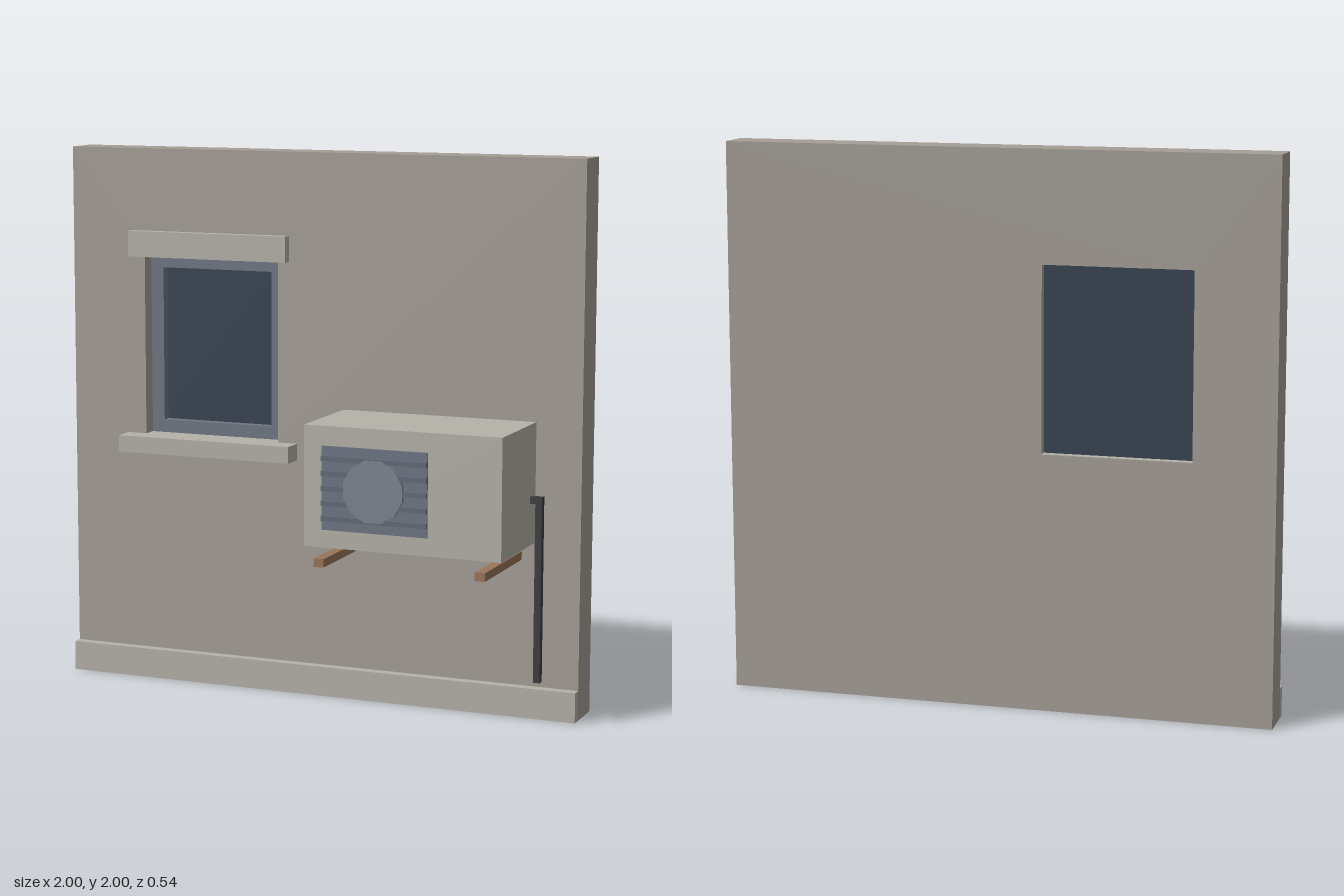
import * as THREE from 'three';

const mat = (color) => new THREE.MeshStandardMaterial({ color });
const wallMat = mat(0xa59f97), trimMat = mat(0xb5b2a9), frameMat = mat(0x6f7784);
const glassMat = mat(0x364250), slatMat = mat(0x626b79), fanMat = mat(0x7e848f);
const woodMat = mat(0x9a7558), pipeMat = mat(0x3d3d41);

// Box given by its extents on each axis
function box(name, material, [x0, x1], [y0, y1], [z0, z1]) {
  const mesh = new THREE.Mesh(new THREE.BoxGeometry(x1 - x0, y1 - y0, z1 - z0), material);
  mesh.position.set((x0 + x1) / 2, (y0 + y1) / 2, (z0 + z1) / 2);
  mesh.name = name;
  return mesh;
}

function rectPath(Type, [x0, x1], [y0, y1]) {
  return new Type([[x0, y0], [x1, y0], [x1, y1], [x0, y1]].map(([x, y]) => new THREE.Vector2(x, y)));
}

// Rectangular slab with a rectangular opening
function slabWithOpening(name, material, outX, outY, inX, inY, [z0, z1]) {
  const shape = rectPath(THREE.Shape, outX, outY);
  shape.holes.push(rectPath(THREE.Path, inX, inY));
  const mesh = new THREE.Mesh(
    new THREE.ExtrudeGeometry(shape, { depth: z1 - z0, bevelEnabled: false }), material);
  mesh.position.z = z0;
  mesh.name = name;
  return mesh;
}

function createWindow() {
  const group = new THREE.Group();
  group.name = 'window';
  group.add(
    slabWithOpening('windowFrame', frameMat, [-0.705, -0.165], [0.93, 1.6],
      [-0.655, -0.215], [0.98, 1.555], [-0.22, -0.185]),
    box('windowPane', glassMat, [-0.705, -0.165], [0.93, 1.6], [-0.24, -0.22]),
    box('windowSill', trimMat, [-0.78, -0.09], [0.87, 0.932], [-0.269, -0.05]),
    box('lintel', trimMat, [-0.755, -0.12], [1.6, 1.695], [-0.13, -0.093]),
  );
  return group;
}

function createAirConditioner() {
  const group = new THREE.Group();
  group.name = 'airConditioner';
  group.add(
    box('casing', trimMat, [0.095, 0.83], [0.635, 1.07], [-0.13, 0.24]),
    box('grillePanel', frameMat, [0.165, 0.56], [0.7, 1.0], [0.235, 0.246]),
  );
  // Horizontal grille slats
  for (let i = 0; i < 5; i++) {
    const y = 0.743 + i * 0.0535;
    group.add(box('grilleSlat', slatMat, [0.165, 0.56], [y - 0.009, y + 0.009], [0.24, 0.257]));
  }
  // Fan disc
  const disc = new THREE.CylinderGeometry(0.114, 0.114, 0.02, 12);
  disc.rotateX(Math.PI / 2).rotateZ(Math.PI / 12);
  const fan = new THREE.Mesh(disc, fanMat);
  fan.position.set(0.362, 0.85, 0.25);
  fan.name = 'fanDisc';
  group.add(fan);
  // Support brackets
  for (const x of [0.145, 0.745]) {
    group.add(box('bracket', woodMat, [x, x + 0.037], [0.57, 0.6], [-0.13, 0.27]));
  }
  // Drain pipe
  group.add(
    box('pipeElbow', pipeMat, [0.83, 0.85], [0.787, 0.812], [-0.093, -0.068]),
    box('drainPipe', pipeMat, [0.85, 0.875], [0.14, 0.812], [-0.093, -0.068]),
  );
  return group;
}

export function createModel() {
  const model = new THREE.Group();
  model.name = 'wallWithAirConditioner';
  model.add(
    slabWithOpening('wall', wallMat, [-1, 1], [0, 2], [-0.705, -0.165], [0.93, 1.6], [-0.27, -0.13]),
    box('plinth', trimMat, [-1, 1], [0, 0.11], [-0.13, -0.093]),
    createWindow(),
    createAirConditioner(),
  );
  return model;
}
